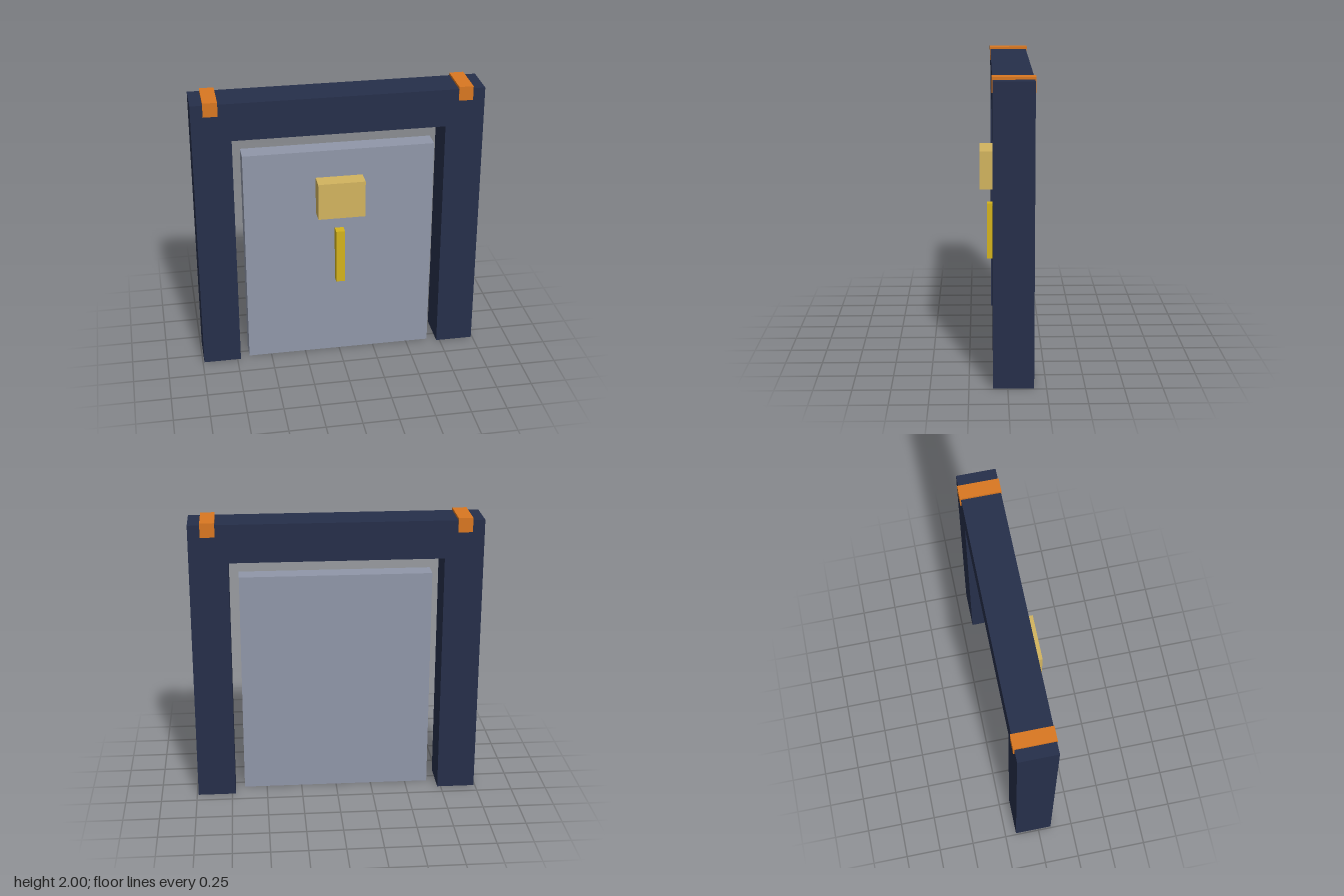
import * as THREE from 'three';

const paint = (color) => new THREE.MeshStandardMaterial({ color, flatShading: true });

const navy = paint(0x262f4a);
const slate = paint(0x9097a9);
const brass = paint(0xd2b45f);
const gold = paint(0xd4b31c);
const orange = paint(0xd97721);

// Box given by its centre x and its y and z extents
function block(name, material, x, width, [y0, y1], [z0, z1]) {
  const mesh = new THREE.Mesh(new THREE.BoxGeometry(width, y1 - y0, z1 - z0), material);
  mesh.name = name;
  mesh.position.set(x, (y0 + y1) / 2, (z0 + z1) / 2);
  return mesh;
}

export function createModel() {
  const group = new THREE.Group();
  group.name = 'doorway';

  // Frame: two posts and a lintel as one solid arch
  const outer = 0.99, inner = 0.726, top = 1.984, soffit = 1.72;
  const arch = new THREE.Shape([
    [-outer, 0], [-inner, 0], [-inner, soffit], [inner, soffit],
    [inner, 0], [outer, 0], [outer, top], [-outer, top],
  ].map(([x, y]) => new THREE.Vector2(x, y)));
  const frame = new THREE.Mesh(
    new THREE.ExtrudeGeometry(arch, { depth: 0.264, bevelEnabled: false }), navy);
  frame.name = 'frame';
  frame.position.z = -0.17;
  group.add(frame);

  // Door slab with its window plate and handle
  const doorFront = 0.062;
  group.add(
    block('door', slate, 0, 1.32, [0, 1.587], [-0.07, doorFront]),
    block('windowPlate', brass, 0, 0.326, [1.127, 1.391], [doorFront, 0.178]),
    block('handle', gold, 0, 0.062, [0.597, 0.995], [doorFront, 0.126]),
  );

  // Warning lamps wrapped over the lintel
  for (const [side, name] of [[1, 'leftLamp'], [-1, 'rightLamp']]) {
    group.add(block(name, orange, side * 0.859, 0.098, [1.902, 2], [-0.178, 0.098]));
  }
  return group;
}
